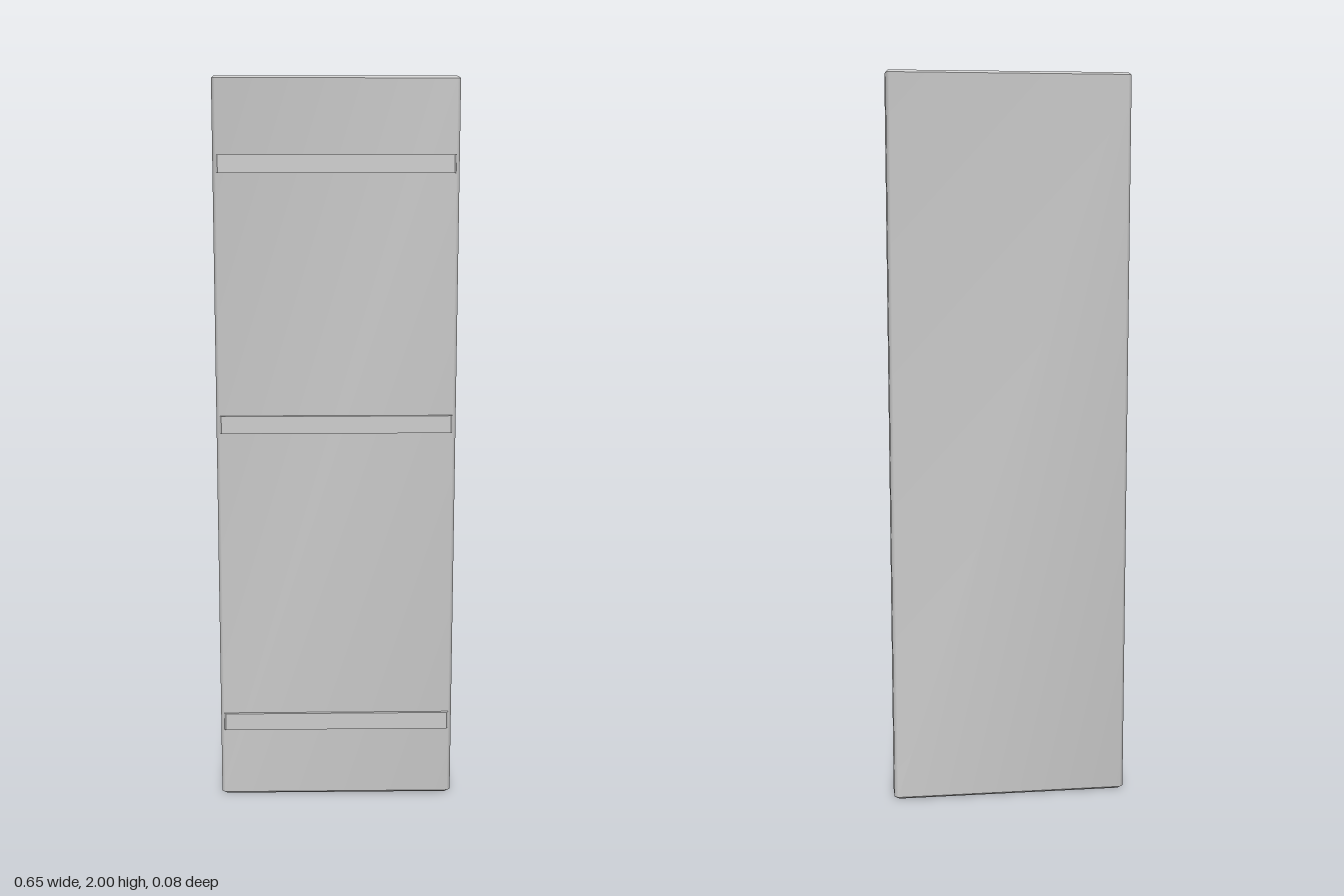
import * as THREE from 'three';
import { mergeGeometries, toCreasedNormals } from 'three/addons/utils/BufferGeometryUtils.js';

const W = 0.327, H = 2, BACK = -0.042, FRONT = 0.032;
const CORNER = 0.009, EDGE = 0.006;

// Rectangle with cut corners, as [x, z] points, shrunk by an inset
function outline(inset) {
  const x = W - inset, f = FRONT - inset, b = BACK + inset, c = CORNER;
  return [
    [x - c, f], [x, f - c], [x, b + c], [x - c, b],
    [-x + c, b], [-x, b + c], [-x, f - c], [-x + c, f],
  ];
}

// Closed band between two horizontal outlines, smooth around the corners
function band(y0, inset0, y1, inset1) {
  const lower = outline(inset0), upper = outline(inset1), n = lower.length;
  const pos = [], index = [];
  lower.forEach(([x, z]) => pos.push(x, y0, z));
  upper.forEach(([x, z]) => pos.push(x, y1, z));
  for (let i = 0; i < n; i++) {
    const j = (i + 1) % n;
    index.push(i, j, n + j, i, n + j, n + i);
  }
  const g = new THREE.BufferGeometry();
  g.setAttribute('position', new THREE.Float32BufferAttribute(pos, 3));
  g.setIndex(index);
  return toCreasedNormals(g, THREE.MathUtils.degToRad(50));
}

// Flat lid closing the top or the bottom
function cap(y, up) {
  const s = up ? -1 : 1;
  const shape = new THREE.Shape(outline(EDGE).map(([x, z]) => new THREE.Vector2(x, s * z)));
  const g = new THREE.ShapeGeometry(shape).rotateX(-s * -Math.PI / 2).translate(0, y, 0).toNonIndexed();
  g.deleteAttribute('uv');
  return g;
}

export function createModel() {
  const group = new THREE.Group();
  const material = new THREE.MeshStandardMaterial({ color: 0xcccccc });

  // Tall door panel with softened edges
  const panel = new THREE.Mesh(mergeGeometries([
    band(0, EDGE, EDGE, 0),
    band(EDGE, 0, H - EDGE, 0),
    band(H - EDGE, 0, H, EDGE),
    cap(0, false),
    cap(H, true),
  ]), material);
  panel.name = 'panel';
  group.add(panel);

  // Three thin cross strips with slanted ends on the front
  const profile = new THREE.Shape([
    [-0.318, -0.03], [0.318, -0.03], [0.318, -0.034], [0.313, -0.041], [-0.313, -0.041], [-0.318, -0.034],
  ].map(([x, y]) => new THREE.Vector2(x, y)));
  const stripGeometry = new THREE.ExtrudeGeometry(profile, { depth: 0.048, bevelEnabled: false })
    .rotateX(-Math.PI / 2);
  [['lowerStrip', 0.197], ['middleStrip', 1.052], ['upperStrip', 1.75]].forEach(([name, y]) => {
    const strip = new THREE.Mesh(stripGeometry, material);
    strip.name = name;
    strip.position.y = y;
    group.add(strip);
  });

  return group;
}
